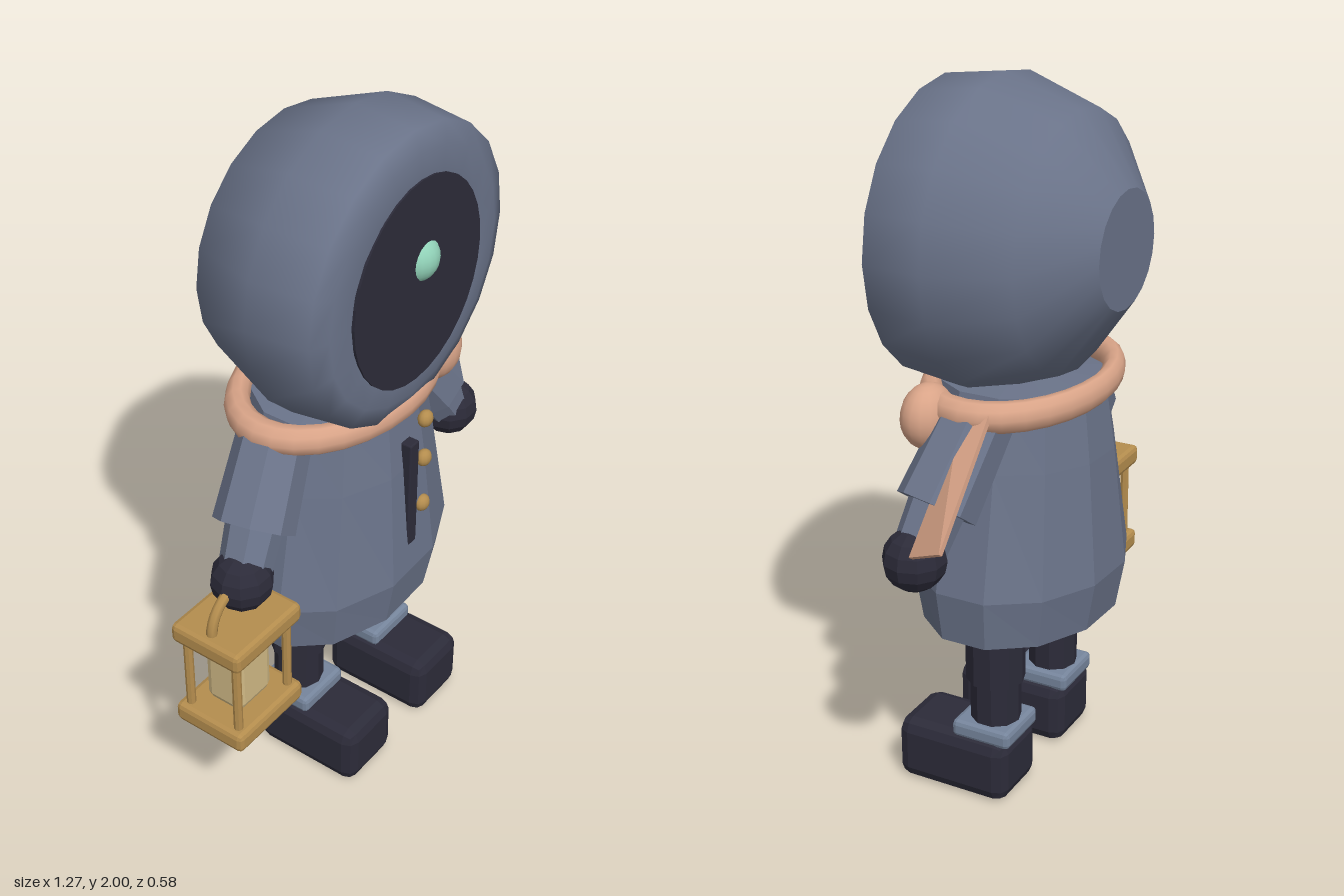
import * as THREE from 'three';
import { RoundedBoxGeometry } from 'three/addons/geometries/RoundedBoxGeometry.js';
import { ConvexGeometry } from 'three/addons/geometries/ConvexGeometry.js';

const V = (x, y, z) => new THREE.Vector3(x, y, z);
const CX = 0.018; // middle line of the figure

export function createModel() {
  const model = new THREE.Group();
  model.name = 'hoodedLanternBearer';

  const material = (name, color) => {
    const m = new THREE.MeshStandardMaterial({ color });
    m.name = name;
    return m;
  };
  const coatGrey = material('coat grey', 0x6a7389);
  const cuffGrey = material('cuff grey', 0x76859c);
  const dark = material('dark navy', 0x2c2b39);
  const peach = material('peach scarf', 0xd9a488);
  const brass = material('brass', 0xb48d4e);
  const glass = material('lantern glow', 0xd0b985);
  const mint = material('mint glow', 0x92d3b9);

  // Faceted normals
  const flat = (geo) => {
    const g = geo.index ? geo.toNonIndexed() : geo;
    g.computeVertexNormals();
    return g;
  };
  const add = (name, geo, mat, x = 0, y = 0, z = 0, parent = model) => {
    const mesh = new THREE.Mesh(geo, mat);
    mesh.name = name;
    mesh.position.set(x, y, z);
    parent.add(mesh);
    return mesh;
  };
  const bevelBox = (w, h, d, r) => flat(new RoundedBoxGeometry(w, h, d, 1, r));
  // Faceted cylinder between two points
  const limb = (name, a, b, rA, rB, sides, mat) => {
    const geo = flat(new THREE.CylinderGeometry(rB, rA, a.distanceTo(b), sides));
    const mesh = add(name, geo, mat);
    mesh.position.copy(a).add(b).multiplyScalar(0.5);
    mesh.quaternion.setFromUnitVectors(V(0, 1, 0), b.clone().sub(a).normalize());
    return mesh;
  };

  // Hood: smooth shell from the back disc to the inner rim
  const hoodProfile = [
    [0.165, -0.29], [0.36, -0.155], [0.44, 0.06], [0.418, 0.235], [0.36, 0.254], [0.29, 0.262], [0.26, 0.25],
  ].map(([r, z]) => new THREE.Vector2(r, z));
  const hood = new THREE.Group();
  hood.name = 'hood';
  hood.position.set(CX + 0.002, 1.58, 0);
  hood.scale.y = 0.955;
  model.add(hood);
  add('hoodShell', new THREE.LatheGeometry(hoodProfile, 20).rotateX(Math.PI / 2), coatGrey, 0, 0, 0, hood);
  add('hoodBack', new THREE.CircleGeometry(0.165, 20).rotateY(Math.PI), coatGrey, 0, 0, -0.29, hood);

  // Dark face opening with a single glowing eye
  const face = flat(new THREE.CylinderGeometry(0.275, 0.275, 0.009, 32).rotateX(Math.PI / 2));
  add('face', face, dark, 0.016, 1.575, 0.262).scale.y = 1.04;
  add('eye', new THREE.SphereGeometry(0.068, 20, 14), mint, 0.047, 1.625, 0.224);

  // Coat: faceted, flared body with a slightly slanting hem
  const coatProfile = [
    [0, 0.512], [0.355, 0.512], [0.372, 0.655], [0.295, 1.0], [0.25, 1.2], [0, 1.22],
  ].map(([r, y]) => new THREE.Vector2(r, y));
  const coat = new THREE.LatheGeometry(coatProfile, 12, Math.PI / 12);
  const p = coat.attributes.position;
  for (let i = 0; i < p.count; i++) {
    const x = p.getX(i), y = p.getY(i), z = p.getZ(i);
    const depth = THREE.MathUtils.mapLinear(y, 0.5, 1.2, 0.685, 0.86);
    p.setXYZ(i, x + CX, y + 0.06 * x, z * depth * 1.035 + 0.01);
  }
  add('coat', flat(coat), coatGrey);
  add('coatPlacket', bevelBox(0.04, 0.435, 0.035, 0.004), dark, 0.016, 0.863, 0.254);
  for (const y of [1.13, 1.0, 0.845]) {
    add('button', new THREE.SphereGeometry(0.025, 12, 8), brass, 0.07, y, 0.265).scale.z = 0.8;
  }

  // Scarf ring, knot and hanging tail
  const ring = new THREE.TorusGeometry(0.32, 0.042, 10, 28).rotateX(Math.PI / 2);
  ring.scale(1, 1, 0.69);
  add('scarfRing', ring, peach, CX, 1.188, 0.007);
  add('scarfKnot', new THREE.SphereGeometry(0.088, 16, 12), peach, 0.325, 1.16, 0.125).scale.z = 0.76;
  const tail = [V(0.34, 1.22, -0.07), V(0.37, 1.16, 0.01), V(0.58, 0.885, 0.035), V(0.632, 0.945, -0.085)];
  const thickness = V(-0.012, -0.01, -0.002);
  const tailGeo = new ConvexGeometry([...tail, ...tail.map((v) => v.clone().add(thickness))]);
  add('scarfTail', tailGeo, peach);

  // Arms, mirrored about the middle line
  for (const s of [-1, 1]) {
    const side = s < 0 ? 'right' : 'left';
    const at = (x, y, z) => V(CX + s * x, y, z);
    limb(side + 'Sleeve', at(0.255, 1.165, 0.005), at(0.408, 0.955, 0.045), 0.1, 0.112, 8, coatGrey);
    limb(side + 'Forearm', at(0.385, 0.99, 0.04), at(0.465, 0.865, 0.06), 0.08, 0.072, 8, coatGrey);
    add(side + 'Hand', flat(new THREE.SphereGeometry(0.086, 10, 8)), dark, CX + s * 0.486, 0.84, 0.065);
  }

  // Legs, ankle cuffs and boots
  for (const x of [-0.157, 0.193]) {
    const side = x < 0 ? 'right' : 'left';
    limb(side + 'Thigh', V(x, 0.35, 0.005), V(x, 0.6, 0.005), 0.084, 0.084, 10, dark);
    limb(side + 'Shin', V(x, 0.17, 0.005), V(x, 0.36, 0.005), 0.072, 0.072, 10, dark);
    add(side + 'AnkleCuff', bevelBox(0.18, 0.052, 0.18, 0.014), cuffGrey, x, 0.2, 0.01);
    add(side + 'Boot', bevelBox(0.212, 0.188, 0.345, 0.036), dark, x, 0.094, 0.101);
  }

  // Lantern held in the right hand
  const lantern = new THREE.Group();
  lantern.name = 'lantern';
  lantern.position.set(-0.504, 0, 0.071);
  model.add(lantern);
  for (const [name, y] of [['lanternBase', 0.43], ['lanternRoof', 0.718]]) {
    add(name, bevelBox(0.273, 0.06, 0.228, 0.015), brass, 0, y, 0, lantern);
  }
  for (const x of [-0.105, 0.105]) {
    for (const z of [-0.082, 0.082]) {
      add('lanternPost', flat(new THREE.CylinderGeometry(0.013, 0.013, 0.25, 8)), brass, x, 0.574, z, lantern);
    }
  }
  add('lanternGlow', bevelBox(0.14, 0.215, 0.12, 0.022), glass, 0, 0.573, 0, lantern);
  add('lanternHandle', new THREE.TorusGeometry(0.1, 0.015, 8, 16, Math.PI), brass, 0, 0.745, 0, lantern);

  return model;
}
